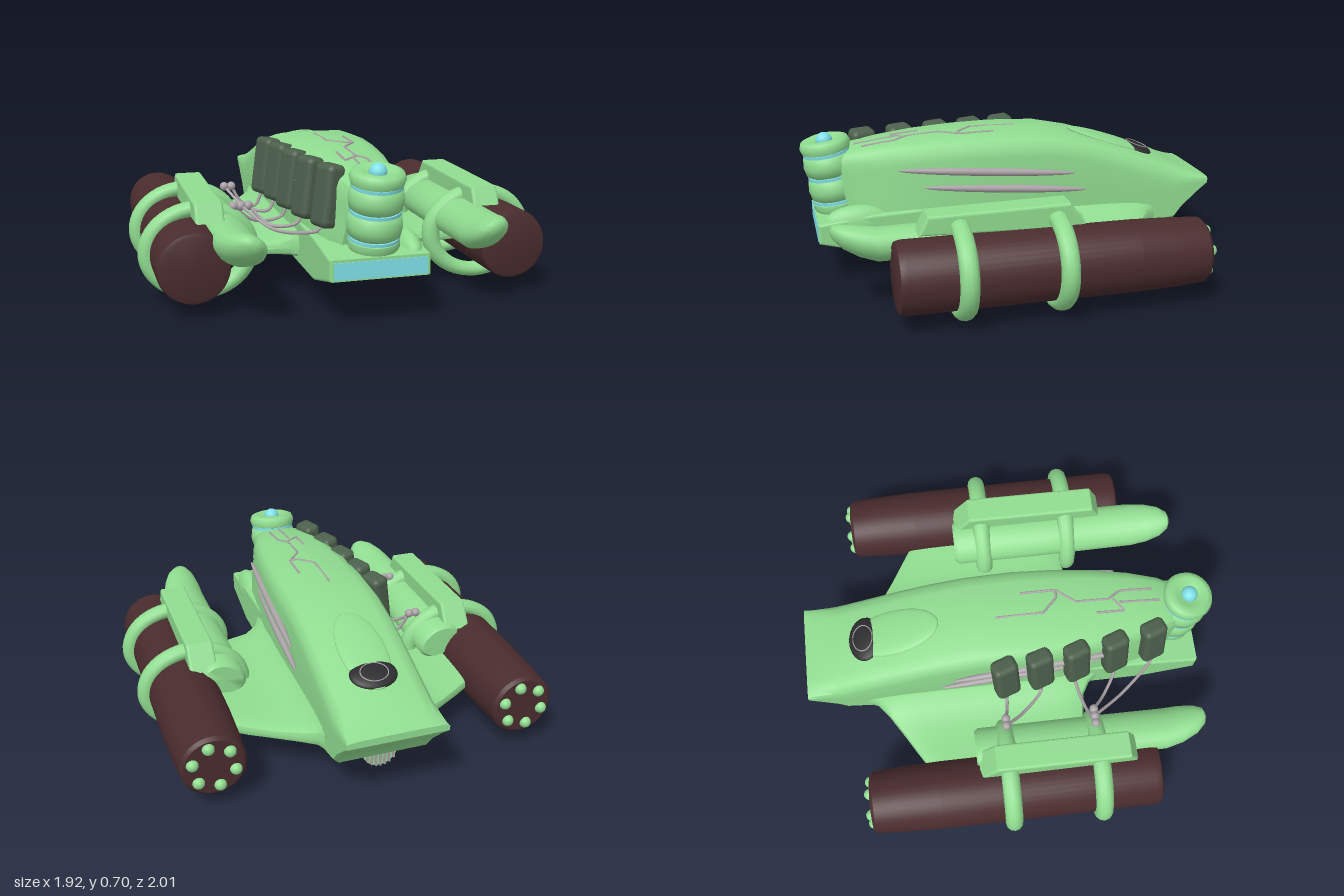
import * as THREE from 'three';
import { toCreasedNormals } from 'three/addons/utils/BufferGeometryUtils.js';
import { RoundedBoxGeometry } from 'three/addons/geometries/RoundedBoxGeometry.js';

const mat = (color) => new THREE.MeshStandardMaterial({ color });
const green = mat(0x90dc90), maroon = mat(0x4a2c2e), cyan = mat(0x7fe0e6);
const moss = mat(0x4c5f4c), grey = mat(0xaaa2a6), dark = mat(0x2c2c2e);
const V = (x, y, z) => new THREE.Vector3(x, y, z);

// Skin a list of closed rings (counter-clockwise seen from the last ring's side) and cap both ends
function loft(rings, crease = 0.7) {
  const pos = [], tri = (a, b, c) => pos.push(...a.toArray(), ...b.toArray(), ...c.toArray());
  const n = rings[0].length;
  const mid = (r) => r.reduce((s, p) => s.add(p), V(0, 0, 0)).divideScalar(n);
  const first = rings[0], last = rings[rings.length - 1], m0 = mid(first), m1 = mid(last);
  for (let j = 0; j < n; j++) {
    const k = (j + 1) % n;
    for (let i = 0; i < rings.length - 1; i++) {
      const a = rings[i][j], b = rings[i][k], c = rings[i + 1][k], d = rings[i + 1][j];
      tri(a, b, c);
      tri(a, c, d);
    }
    tri(m0, first[k], first[j]);
    tri(m1, last[j], last[k]);
  }
  const g = new THREE.BufferGeometry();
  g.setAttribute('position', new THREE.Float32BufferAttribute(pos, 3));
  return toCreasedNormals(g, crease);
}

// Side profile given as [z, y], extruded across x with a small bevel
function sideExtrude(points, width, bevel) {
  const shape = new THREE.Shape(points.map(([z, y]) => new THREE.Vector2(-z, y)));
  const depth = width - 2 * bevel;
  const g = new THREE.ExtrudeGeometry(shape, { depth, bevelSize: bevel, bevelThickness: bevel, bevelOffset: -bevel, bevelSegments: 3 });
  g.translate(0, 0, -depth / 2);
  return g.rotateY(Math.PI / 2);
}

// Hull stations: z, top half width, bottom half width, top y, bottom y
const stations = [
  [-1, 0.235, 0.235, 0.41, 0.375], [-0.95, 0.235, 0.235, 0.425, 0.33], [-0.87, 0.235, 0.235, 0.455, 0.25],
  [-0.83, 0.235, 0.235, 0.475, 0.19], [-0.7, 0.235, 0.235, 0.52, 0.16], [-0.5, 0.235, 0.235, 0.59, 0.15],
  [-0.35, 0.235, 0.235, 0.635, 0.15], [-0.18, 0.235, 0.235, 0.67, 0.15], [0.05, 0.235, 0.235, 0.68, 0.15],
  [0.25, 0.225, 0.235, 0.677, 0.15], [0.45, 0.205, 0.225, 0.667, 0.15], [0.62, 0.178, 0.21, 0.65, 0.15],
  [0.76, 0.145, 0.185, 0.63, 0.15], [0.86, 0.1, 0.14, 0.595, 0.15],
];
function topY(z) {
  let i = 0;
  while (i < stations.length - 2 && stations[i + 1][0] < z) i++;
  const a = stations[i], b = stations[i + 1];
  return THREE.MathUtils.mapLinear(z, a[0], b[0], a[3], b[3]);
}
function hullRing([z, w, wb, yt, yb]) {
  const o = Math.min(0.1, (yt - yb) * 0.35), e = o * 0.25;
  const half = [[wb - e, yb], [wb, yb + e], [(w + wb) / 2, (yt + yb) / 2], [w, yt - o], [w * 0.97, yt - o * 0.55],
    [w * 0.86, yt - o * 0.22], [w * 0.65, yt - o * 0.05]];
  const pts = [...half, [0, yt], ...half.slice().reverse().map(([x, y]) => [-x, y])];
  const shear = z > 0.7 ? (z - 0.7) * 1.6 : 0;
  return pts.map(([x, y]) => V(x, y, z - (yt - y) * shear));
}

// Wing half sections: x, rear z, front z, bottom y, top y
const wingHalf = [
  [0.1, -0.8, 0.5, 0.15, 0.36], [0.22, -0.76, 0.45, 0.15, 0.33], [0.25, -0.68, 0.4, 0.155, 0.285],
  [0.31, -0.63, 0.365, 0.16, 0.255], [0.42, -0.56, 0.35, 0.165, 0.24], [0.52, -0.5, 0.35, 0.165, 0.245],
  [0.6, -0.45, 0.35, 0.17, 0.25],
];
function wingRing([x, z0, z1, y0, y1]) {
  return Array.from({ length: 24 }, (_, i) => {
    const a = (i / 24) * Math.PI * 2, c = Math.cos(a), s = Math.sin(a);
    const sq = (v) => Math.sign(v) * Math.abs(v) ** 0.5;
    return V(x, (y0 + y1) / 2 + sq(c) * (y1 - y0) / 2, (z0 + z1) / 2 + sq(s) * (z1 - z0) / 2);
  });
}

export function createModel() {
  const root = new THREE.Group();
  const add = (name, geo, material, p = [0, 0, 0], r = [0, 0, 0], parent = root) => {
    const m = new THREE.Mesh(geo, material);
    m.name = name;
    m.position.set(...p);
    m.rotation.set(...r);
    parent.add(m);
    return m;
  };
  const wire = (name, pts, radius, tension = 0.5, segs = 20) => add(name,
    new THREE.TubeGeometry(new THREE.CatmullRomCurve3(pts, false, 'catmullrom', tension), segs, radius, 6), grey);

  // Hull and wings
  add('hull', loft(stations.map(hullRing)), green);
  add('wings', loft([...wingHalf.map((s) => [-s[0], ...s.slice(1)]).reverse(), ...wingHalf].map(wingRing)), green);

  // Nose block with its glowing panel
  add('noseBlock', sideExtrude([[0.95, 0.31], [0.95, 0.215], [0.68, 0.145], [0.2, 0.145], [0.2, 0.36], [0.7, 0.34]], 0.45, 0.012), green);
  add('nosePanel', new THREE.BoxGeometry(0.415, 0.075, 0.01), cyan, [0, 0.26, 0.949]);
  add('noseFairing', new THREE.SphereGeometry(1, 20, 12), green, [0.17, 0.29, 0.76]).scale.set(0.06, 0.09, 0.17);

  // Banded column at the front, leaning forward
  const column = new THREE.Group();
  column.name = 'column';
  column.position.set(0, 0.32, 0.835);
  column.rotation.x = 0.16;
  root.add(column);
  const profile = [[0, 0], [0.105, 0], [0.115, 0.02], [0.112, 0.045], [0.1, 0.05], [0.1, 0.06], [0.115, 0.07], [0.122, 0.11],
    [0.115, 0.16], [0.1, 0.17], [0.1, 0.18], [0.115, 0.19], [0.122, 0.23], [0.115, 0.275], [0.1, 0.285], [0.1, 0.295],
    [0.115, 0.3], [0.122, 0.325], [0.112, 0.35], [0.085, 0.36], [0.06, 0.345], [0, 0.34]];
  add('columnBody', toCreasedNormals(new THREE.LatheGeometry(profile.map((p) => new THREE.Vector2(...p)), 32), 0.9), green,
    [0, 0, 0], [0, 0, 0], column);
  for (const y of [0.055, 0.175, 0.29]) {
    add('columnBand', new THREE.CylinderGeometry(0.112, 0.112, 0.014, 32), cyan, [0, y, 0], [0, 0, 0], column);
  }
  add('columnLamp', new THREE.SphereGeometry(0.04, 16, 12), cyan, [0, 0.345, 0], [0, 0, 0], column);

  // Canopy with dark window
  add('canopy', new THREE.SphereGeometry(1, 32, 16), green, [0, 0.57, -0.55], [-0.33, 0, 0]).scale.set(0.113, 0.022, 0.24);
  add('canopyWindow', new THREE.SphereGeometry(1, 24, 16), dark, [0, 0.522, -0.69], [-0.33, 0, 0]).scale.set(0.112, 0.026, 0.085);
  const frame = add('windowFrame', new THREE.TorusGeometry(0.065, 0.003, 6, 32), grey, [0, 0.541, -0.7], [Math.PI / 2 - 0.33, 0, 0]);
  frame.scale.y = 0.8;

  // Belly duct with grille
  add('bellyDuct', new THREE.CapsuleGeometry(0.078, 0.98, 8, 20), green, [0, 0.19, -0.2], [Math.PI / 2, 0, 0]);
  add('bellyNozzle', new THREE.CylinderGeometry(0.085, 0.085, 0.06, 24), green, [0, 0.19, -0.765], [Math.PI / 2, 0, 0]);
  for (let i = -3; i <= 3; i++) {
    add('grilleBar', new THREE.BoxGeometry(0.008, 2 * Math.sqrt(0.0064 - (i * 0.021) ** 2), 0.02), grey, [i * 0.021, 0.19, -0.8]);
  }

  // Engine pods on both sides
  const engineProfile = [[0, -0.74], [0.135, -0.74], [0.15, -0.725], [0.158, -0.6], [0.164, -0.4], [0.164, 0.64], [0.157, 0.665], [0.14, 0.672], [0, 0.672]];
  const podSteps = [[-0.21, 0.85, 0], [-0.19, 1, 0], [0.3, 1, 0], [0.72, 0.97, 0], [0.8, 0.88, 0.02], [0.87, 0.68, 0.045], [0.91, 0.4, 0.065], [0.92, 0.15, 0.07]];
  for (const s of [-1, 1]) {
    const side = new THREE.Group();
    side.name = s > 0 ? 'leftEngine' : 'rightEngine';
    root.add(side);
    add('engineTube', toCreasedNormals(new THREE.LatheGeometry(engineProfile.map((p) => new THREE.Vector2(...p)), 40), 0.6), maroon,
      [s * 0.745, 0.232, 0], [Math.PI / 2, 0, 0], side);
    for (let i = 0; i < 6; i++) {
      const a = (i / 6) * Math.PI * 2 + 0.3;
      add('thruster', new THREE.SphereGeometry(0.028, 14, 10), green,
        [s * 0.745 + Math.cos(a) * 0.1, 0.232 + Math.sin(a) * 0.1, -0.74], [0, 0, 0], side);
    }
    for (const z of [-0.06, 0.38]) {
      const ring = add('clampRing', new THREE.TorusGeometry(0.235, 0.043, 12, 48), green, [s * 0.682, 0.235, z], [0, 0, 0], side);
      ring.scale.y = 0.84;
    }
    // Tilted oval pod with a swept-up spoon tip
    const pod = loft(podSteps.map(([z, k, up]) => Array.from({ length: 24 }, (_, i) => {
      const a = (i / 24) * Math.PI * 2;
      return V(Math.cos(a) * 0.112 * k, Math.sin(a) * 0.08 * k + up, z);
    })), 0.9);
    add('innerPod', pod, green, [s * 0.56, 0.325, 0], [0, 0, s * 0.4], side);
    add('topRail', sideExtrude([[0.56, 0.4], [0.52, 0.485], [-0.12, 0.495], [-0.2, 0.38]], 0.13, 0.012), green,
      [s * 0.655, 0, 0], [0, 0, 0], side);
  }

  // Grey strips along the hull sides
  for (const s of [-1, 1]) {
    for (const [y, z, len] of [[0.515, 0.14, 0.43], [0.425, 0.05, 0.4]]) {
      add('sideStrip', new THREE.SphereGeometry(1, 12, 24).rotateX(Math.PI / 2), grey,
        [s * 0.232, y, z], [-0.07, -s * 0.05, 0]).scale.set(0.02, 0.02, len);
    }
  }

  // Leaning exhaust plates and their wires on the right flank
  const plates = [[-0.275, -0.03], [-0.25, 0.14], [-0.23, 0.32], [-0.205, 0.51], [-0.165, 0.7]];
  plates.forEach(([x, z], i) => {
    const g = new RoundedBoxGeometry(0.095, 0.28, 0.13, 3, 0.03);
    const p = g.attributes.position;
    for (let k = 0; k < p.count; k++) {
      const f = 0.85 + 2.5 * (p.getY(k) / 0.28) ** 2 * 0.25;
      p.setX(k, p.getX(k) * f);
      p.setZ(k, p.getZ(k) * f);
    }
    add('exhaustPlate', g, moss, [x, 0.53, z], [0, 0.35, -0.15]);
    const end = V(-0.45 - (i % 3) * 0.035, 0.43, i < 2 ? -0.05 : 0.38);
    wire('exhaustWire', [V(x - 0.02, 0.41, z), V(x - 0.06, 0.33 + i * 0.01, z),
      V((x + end.x) / 2 - 0.04, 0.35, (z + end.z) / 2), end], 0.008);
    add('wirePlug', new THREE.SphereGeometry(0.022, 12, 8), grey, end.toArray());
  });

  // Etched circuit lines on the deck
  const lines = [
    [[-0.02, -0.05], [-0.02, 0.18], [0.05, 0.25], [0.09, 0.25]],
    [[0.09, 0.08], [0.09, 0.25], [0.02, 0.34], [0.02, 0.5], [0.06, 0.56], [0.06, 0.72]],
    [[-0.045, 0.43], [-0.045, 0.57], [0.02, 0.52]],
    [[0, 0.55], [0, 0.75]],
  ];
  for (const l of lines) {
    wire('circuitLine', l.map(([x, z]) => V(x, topY(z) - Math.abs(x) * 0.03, z)), 0.006, 0, 40);
  }
  return root;
}
